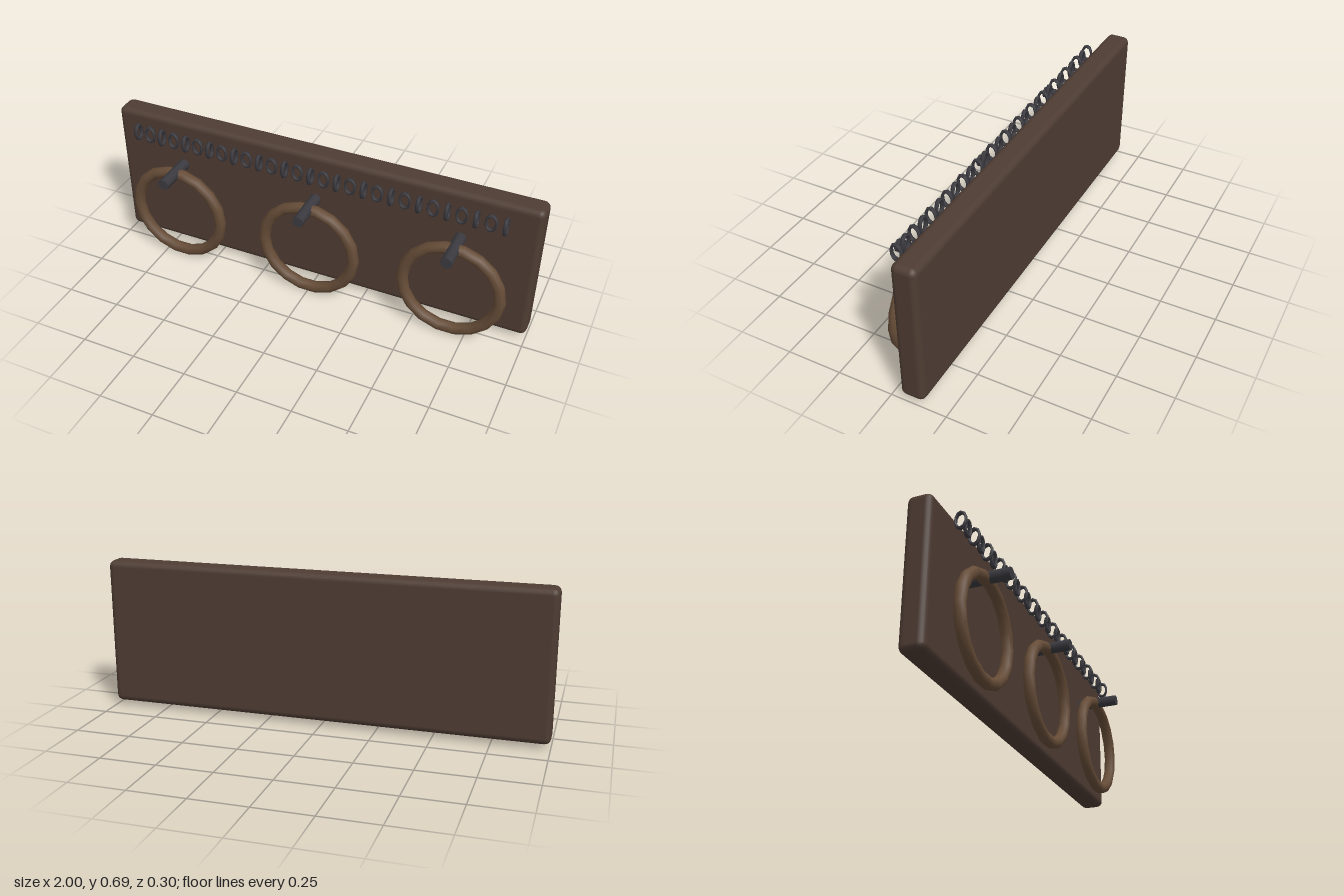
import * as THREE from 'three';
import { RoundedBoxGeometry } from 'three/addons/geometries/RoundedBoxGeometry.js';

const boardWood = new THREE.MeshStandardMaterial({ color: 0x4e3c33 });
const ringWood = new THREE.MeshStandardMaterial({ color: 0x664c37 });
const iron = new THREE.MeshStandardMaterial({ color: 0x3a3a40 });

export function createModel() {
  const model = new THREE.Group();
  model.name = 'wallRack';

  const add = (name, geometry, material, x, y, z) => {
    const mesh = new THREE.Mesh(geometry, material);
    mesh.name = name;
    mesh.position.set(x, y, z);
    model.add(mesh);
    return mesh;
  };

  // Backing board with softened edges
  add('board', new RoundedBoxGeometry(2, 0.666, 0.11, 2, 0.028), boardWood, 0, 0.355, -0.095);

  // Three pegs, each carrying a wooden ring
  const pegGeometry = new THREE.CylinderGeometry(0.0265, 0.0265, 0.21, 8).rotateX(Math.PI / 2);
  const ringGeometry = new THREE.TorusGeometry(0.219, 0.0265, 8, 18);
  for (const x of [-0.667, 0, 0.667]) {
    add('peg', pegGeometry, iron, x, 0.466, 0.045);
    add('ring', ringGeometry, ringWood, x, 0.243, 0.039);
  }

  // Chain of oval links, alternately edge-on and face-on
  const linkGeometry = new THREE.TorusGeometry(0.0227, 0.0055, 6, 10)
    .scale(1.58, 1, 1.7)
    .rotateZ(Math.PI / 2);
  const linkCount = 29;
  const spacing = 0.0615;
  for (let i = 0; i < linkCount; i++) {
    const link = add('chainLink', linkGeometry, iron, (i - (linkCount - 1) / 2) * spacing, 0.622, 0.017);
    link.rotation.y = i % 2 === 0 ? Math.PI / 2 : 0;
  }

  return model;
}
